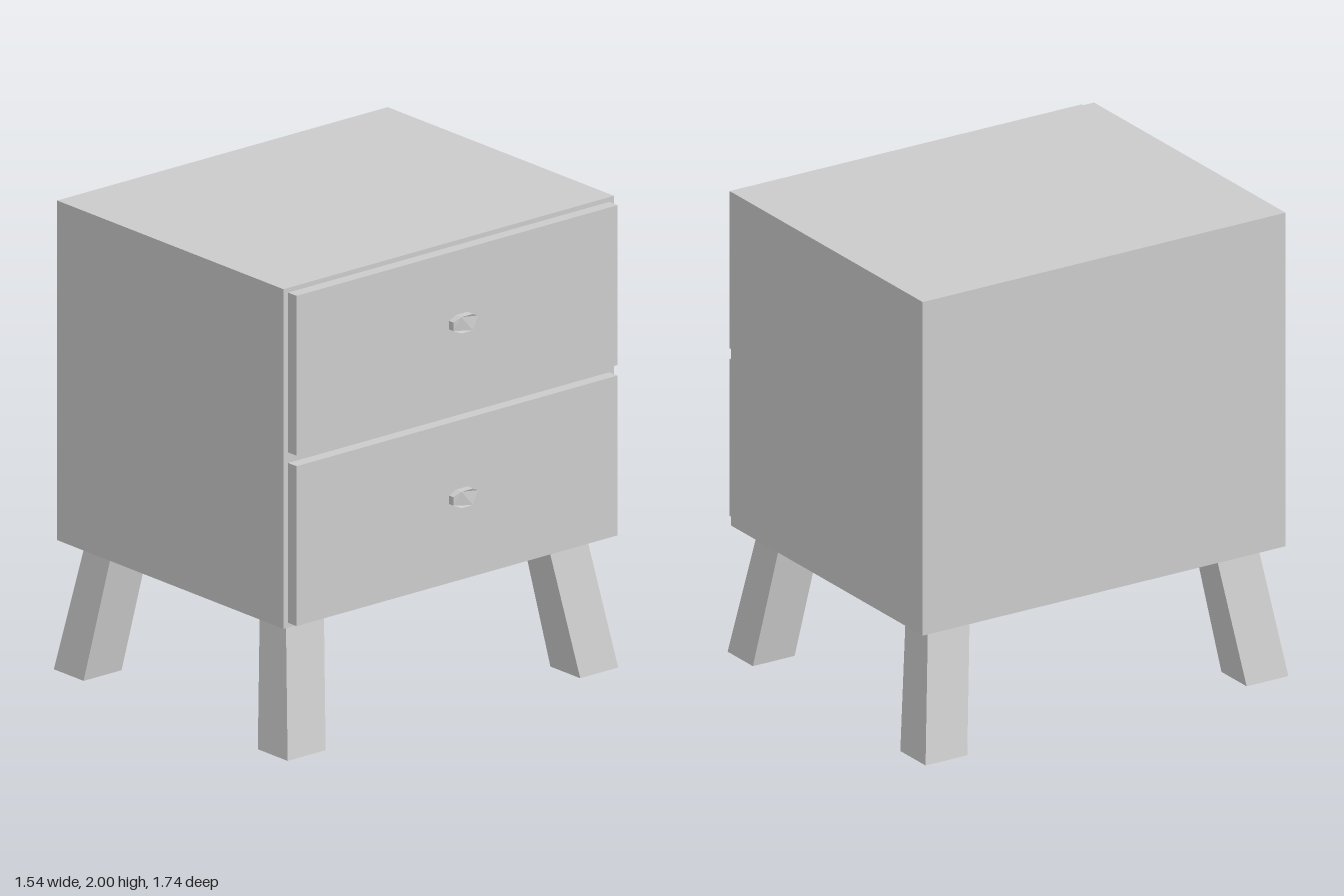
import * as THREE from 'three';

const material = new THREE.MeshStandardMaterial({ color: 0xcccccc, flatShading: true });

function add(parent, name, geometry, x = 0, y = 0, z = 0) {
  const mesh = new THREE.Mesh(geometry, material);
  mesh.name = name;
  mesh.position.set(x, y, z);
  parent.add(mesh);
  return mesh;
}

// Box given by its lower and upper limits
function addBox(parent, name, [x0, x1], [y0, y1], [z0, z1]) {
  return add(parent, name, new THREE.BoxGeometry(x1 - x0, y1 - y0, z1 - z0),
    (x0 + x1) / 2, (y0 + y1) / 2, (z0 + z1) / 2);
}

// Splayed leg: a box whose corners slide outwards towards the floor
function legGeometry(sx, sz, height) {
  const geometry = new THREE.BoxGeometry(1, 1, 1);
  const p = geometry.attributes.position;
  for (let i = 0; i < p.count; i++) {
    const top = p.getY(i) > 0;
    const outerX = p.getX(i) * sx > 0;
    const outerZ = p.getZ(i) * sz > 0;
    const x = top ? (outerX ? 0.62 : 0.458) : (outerX ? 0.725 : 0.54);
    const z = top ? (outerZ ? 0.79 : 0.59) : (outerZ ? 0.87 : 0.67);
    p.setXYZ(i, sx * x, top ? height : 0, sz * z);
  }
  geometry.computeVertexNormals();
  return geometry;
}

// Elongated eight-sided knob head with a slightly crowned face
function knobHeadGeometry() {
  const outline = [[0.066, 0.018], [0.03, 0.035], [-0.03, 0.035], [-0.066, 0.018],
    [-0.066, -0.018], [-0.03, -0.035], [0.03, -0.035], [0.066, -0.018]];
  const shape = new THREE.Shape(outline.map(([x, y]) => new THREE.Vector2(x, y)));
  const geometry = new THREE.ExtrudeGeometry(shape, { depth: 0.034, bevelEnabled: false });
  const p = geometry.attributes.position;
  for (let i = 0; i < p.count; i++) {
    if (p.getZ(i) > 0.02 && Math.abs(p.getX(i)) > 0.05) p.setZ(i, 0.026);
  }
  geometry.rotateY(Math.PI / 2);
  geometry.computeVertexNormals();
  return geometry;
}

export function createModel() {
  const model = new THREE.Group();
  model.name = 'nightstand';

  // Cabinet
  addBox(model, 'cabinet', [-0.75, 0.653], [0.555, 2], [-0.87, 0.87]);

  // Drawers with their knobs on the +x side
  const drawers = [['upper', 1.3, 1.98, 1.685], ['lower', 0.575, 1.255, 0.942]];
  for (const [label, y0, y1, knobY] of drawers) {
    const drawer = new THREE.Group();
    drawer.name = label + 'Drawer';
    addBox(drawer, 'drawerFront', [0.653, 0.705], [y0, y1], [-0.845, 0.845]);
    const stem = new THREE.CylinderGeometry(0.02, 0.02, 0.04, 8).rotateZ(Math.PI / 2);
    add(drawer, 'knobStem', stem, 0.72, knobY, 0);
    add(drawer, 'knobHead', knobHeadGeometry(), 0.733, knobY, 0);
    model.add(drawer);
  }

  // Four splayed legs
  for (const sx of [-1, 1]) {
    for (const sz of [-1, 1]) {
      const name = (sz > 0 ? 'front' : 'back') + (sx > 0 ? 'Left' : 'Right') + 'Leg';
      add(model, name, legGeometry(sx, sz, 0.555), -0.046, 0, 0);
    }
  }
  return model;
}
